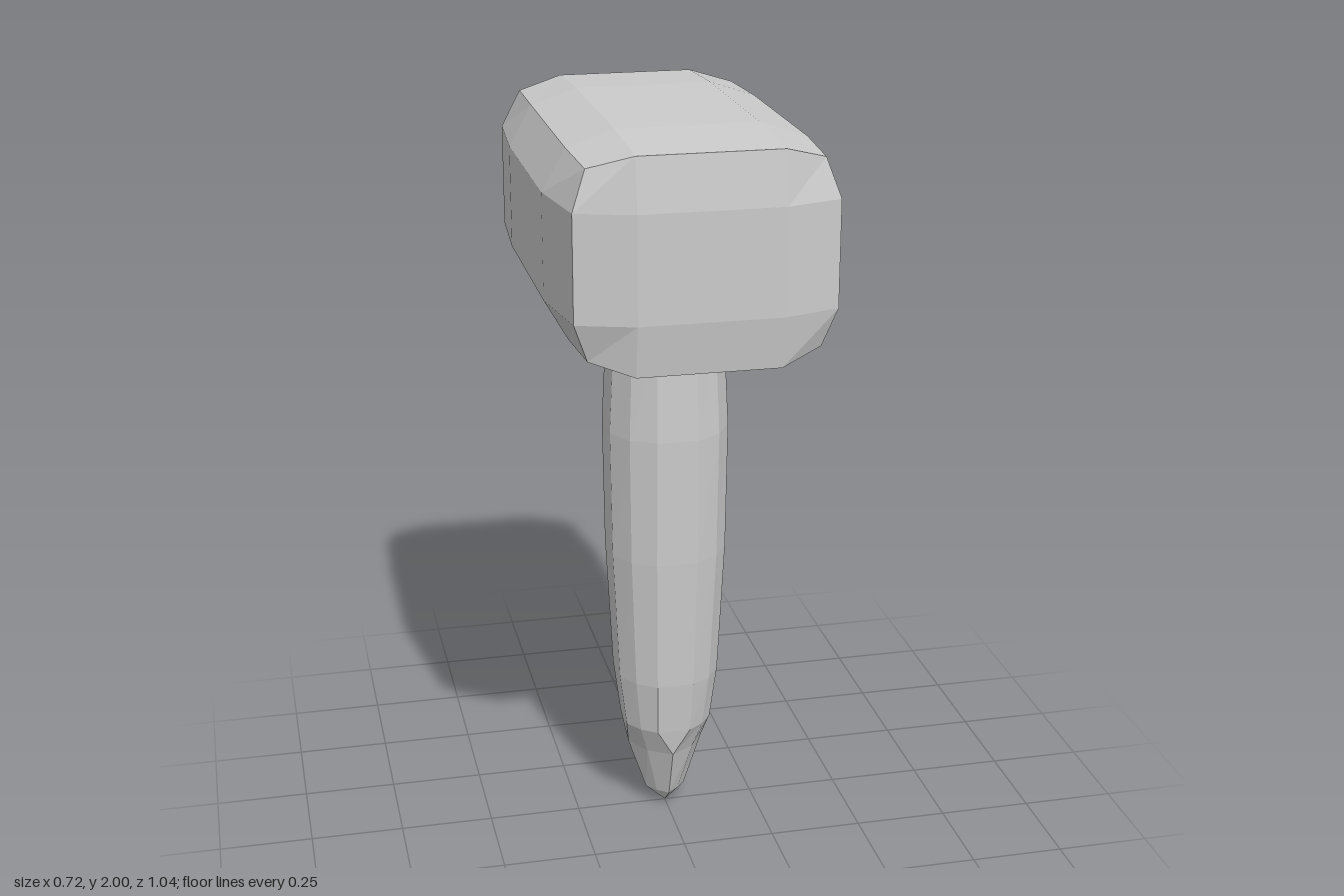
import * as THREE from 'three';

const material = new THREE.MeshStandardMaterial({ color: 0xcccccc, flatShading: true });

// Bulging block: a 3x3x3 box whose edges and corners are pulled in
function headGeometry() {
  const geo = new THREE.BoxGeometry(2, 2, 2, 3, 3, 3);
  const pos = geo.attributes.position;
  for (let i = 0; i < pos.count; i++) {
    const p = [pos.getX(i), pos.getY(i), pos.getZ(i)];
    const [ex, ey, ez] = p.map((v) => (Math.abs(v) > 0.9 ? 1 : 0));
    const [sx, sy, sz] = p.map(Math.sign);
    const front = sz > 0; // the front end tapers a little more
    const taper = (front ? 0.035 : 0.017) * (ey ? 0.3 : 1);
    const x = ex ? 0.36 - 0.06 * ey - taper * ez : 0.18;
    const y = ey ? 0.28 - 0.04 * ex - 0.012 * ez * (1 - 0.5 * ex) : 0.135;
    const z = ez ? 0.518 - 0.02 * ey - (front ? 0.045 : 0.015) * ex : 0.255;
    pos.setXYZ(i, sx * x, 1.72 + sy * y, sz * z);
  }
  geo.computeVertexNormals();
  return geo;
}

// Twelve-sided shaft whose four flat strips close to a point near the tip
function handleGeometry() {
  // height, half width, half strip width, corner offset
  const rings = [
    [0, 0, 0, 0],
    [0.05, 0.055, 0, 0.03],
    [0.2, 0.105, 0, 0.064],
    [0.28, 0.118, 0.045, 0.087],
    [0.43, 0.137, 0.05, 0.102],
    [0.8, 0.155, 0.055, 0.116],
    [1.15, 0.16, 0.055, 0.12],
    [1.42, 0.147, 0.052, 0.11],
    [1.6, 0.135, 0.048, 0.101],
  ];
  const points = [], index = [];
  for (const [y, w, s, c] of rings) {
    for (let q = 0; q < 4; q++) {
      const cos = [1, 0, -1, 0][q], sin = [0, 1, 0, -1][q];
      for (const [u, v] of [[w, -s], [w, s], [c, c]]) {
        points.push(u * cos - v * sin, y, u * sin + v * cos);
      }
    }
  }
  for (let r = 0; r < rings.length - 1; r++) {
    for (let k = 0; k < 12; k++) {
      const a = r * 12 + k, b = r * 12 + ((k + 1) % 12);
      index.push(a, a + 12, b, b, a + 12, b + 12);
    }
  }
  const geo = new THREE.BufferGeometry();
  geo.setAttribute('position', new THREE.Float32BufferAttribute(points, 3));
  geo.setIndex(index);
  geo.computeVertexNormals();
  return geo;
}

export function createModel() {
  const group = new THREE.Group();
  group.name = 'mallet';
  const parts = { head: headGeometry(), handle: handleGeometry() };
  for (const [name, geo] of Object.entries(parts)) {
    const mesh = new THREE.Mesh(geo, material);
    mesh.name = name;
    group.add(mesh);
  }
  return group;
}
